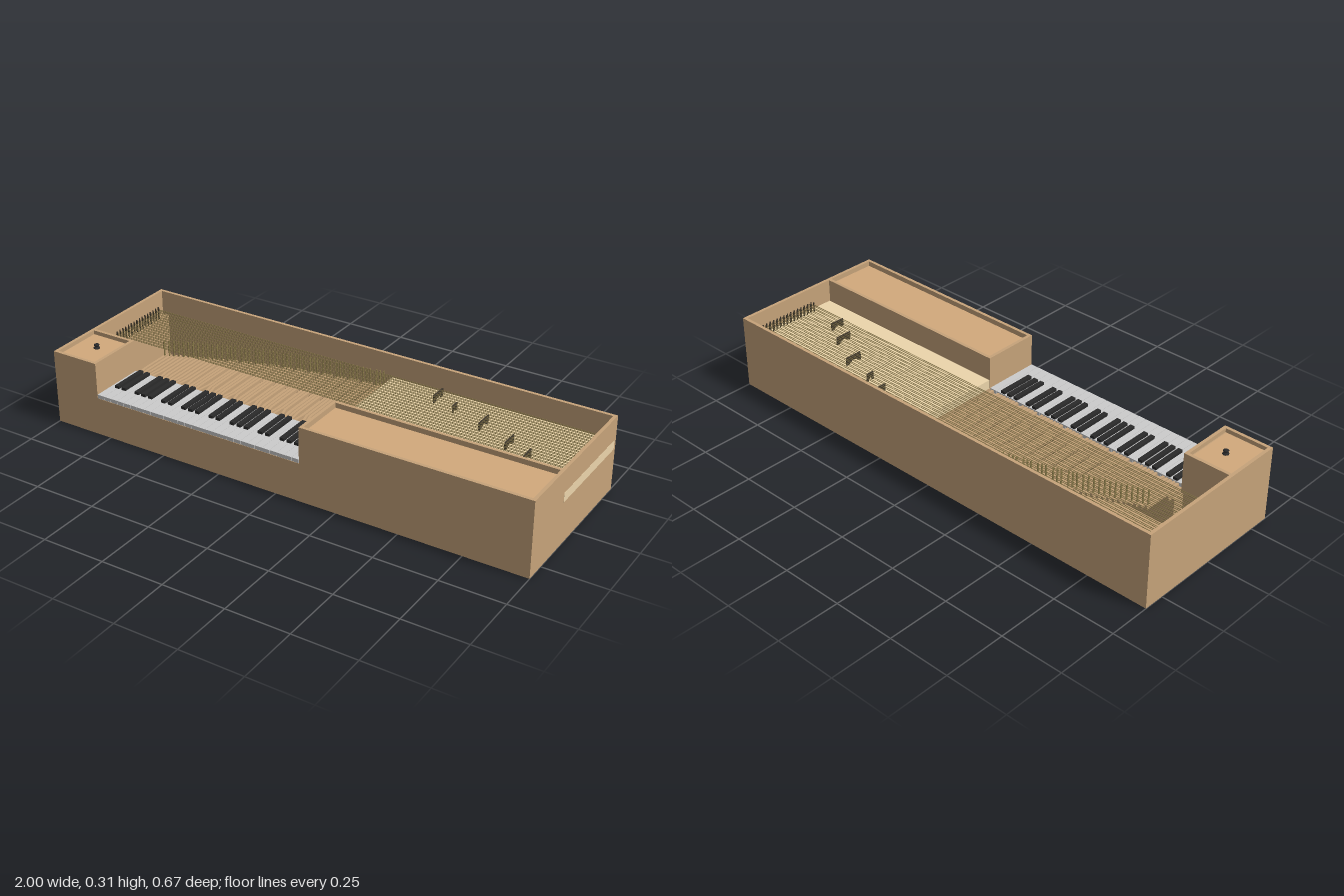
import * as THREE from 'three';

const mat = (color) => new THREE.MeshStandardMaterial({ color });
const WOOD = mat(0xc6a37a), PANEL = mat(0xd2a97c), CREAM = mat(0xecd5ab), IVORY = mat(0xcccccc);
const EBONY = mat(0x2a2a2a), BRASS = mat(0x8a7a4a), IRON = mat(0x40382c);

export function createModel() {
  const root = new THREE.Group();
  root.name = 'clavichord';

  const group = (name) => {
    const g = new THREE.Group();
    g.name = name;
    root.add(g);
    return g;
  };
  const add = (parent, name, geometry, material) => {
    const m = new THREE.Mesh(geometry, material);
    m.name = name;
    parent.add(m);
    return m;
  };
  // box from its minimum and maximum corners
  const box = (parent, name, [x0, x1], [y0, y1], [z0, z1], material) => {
    const m = add(parent, name, new THREE.BoxGeometry(x1 - x0, y1 - y0, z1 - z0), material);
    m.position.set((x0 + x1) / 2, (y0 + y1) / 2, (z0 + z1) / 2);
    return m;
  };

  const H = 0.3, D = 0.333, T = 0.013;
  const KEY_L = -0.8, KEY_R = 0.1, DIV = 0.1, KEY_Y = 0.155;

  // Case: floor, walls, and a front with the keyboard opening cut from its top
  const box3 = group('case');
  box(box3, 'bottom', [-1, 1], [0, T], [-D, D], WOOD);
  box(box3, 'backWall', [-1, 1], [T, H], [-D, -D + T], WOOD);
  for (const s of [-1, 1]) {
    box(box3, s < 0 ? 'rightEnd' : 'leftEnd', s < 0 ? [-1, -1 + T] : [1 - T, 1], [T, H], [-D + T, D - T], WOOD);
  }
  const front = new THREE.Shape([
    [-1, T], [1, T], [1, H], [KEY_R, H], [KEY_R, KEY_Y], [KEY_L, KEY_Y], [KEY_L, H], [-1, H],
  ].map((p) => new THREE.Vector2(...p)));
  const frontWall = add(box3, 'frontWall', new THREE.ExtrudeGeometry(front, { depth: T, bevelEnabled: false }), WOOD);
  frontWall.position.z = D - T;
  box(box3, 'keybed', [KEY_L, KEY_R], [0.135, KEY_Y], [0.03, D - T], WOOD);
  box(box3, 'balanceRail', [KEY_L - 0.01, KEY_R], [T, 0.135], [0.05, 0.1], WOOD);
  box(box3, 'bellyRail', [KEY_R, KEY_R + T], [T, 0.17], [-D + T, DIV], WOOD);

  // Compartments at each end of the keyboard, with recessed lids
  const compartment = (name, x0, x1, wallX, lidY, rim) => {
    const g = group(name);
    box(g, 'rearPartition', [x0, x1], [T, H], [DIV, DIV + T], WOOD);
    box(g, 'cheek', [wallX, wallX + T], [T, H], [DIV + T, D - T], WOOD);
    box(g, 'lid', [x0 + T, x1 - T], [lidY - 0.012, lidY], [DIV + T, D - T], WOOD);
    box(g, 'lidPanel', [x0 + rim, x1 - rim], [lidY, lidY + 0.004], [DIV + rim, D - rim], PANEL);
    return g;
  };
  const toolBox = compartment('toolBox', -1, KEY_L, KEY_L - T, 0.284, 0.02);
  compartment('sideBox', KEY_R, 1, KEY_R, 0.278, 0.016);

  // Lid knob
  const knobProfile = [[0, 0], [0.012, 0], [0.012, 0.003], [0.005, 0.005], [0.005, 0.009],
    [0.009, 0.011], [0.011, 0.014], [0.008, 0.017], [0, 0.018]];
  const knob = add(toolBox, 'lidKnob',
    new THREE.LatheGeometry(knobProfile.map((p) => new THREE.Vector2(...p)), 20), EBONY);
  knob.position.set(-0.895, 0.288, 0.208);

  // Soundboard, showing its end grain through the case end
  box(root, 'soundboard', [KEY_R, 1.0004], [0.17, 0.207], [-0.32, 0.097], CREAM);

  // Keys: 29 naturals and 20 accidentals, C to C
  const keys = group('keyboard');
  const PITCH = (KEY_R - KEY_L) / 29;
  const hasSharp = [1, 1, 0, 1, 1, 1, 0];
  const keyX = [];
  for (let i = 0; i < 29; i++) {
    const x = KEY_L + i * PITCH;
    box(keys, 'naturalKey', [x + 0.0006, x + PITCH - 0.0006], [KEY_Y + 0.001, 0.171], [DIV + 0.002, D], IVORY);
    keyX.push(x + PITCH / 2);
    if (i < 28 && hasSharp[i % 7]) {
      const c = x + PITCH;
      box(keys, 'accidentalKey', [c - 0.009, c + 0.009], [0.171, 0.182], [DIV + 0.004, 0.255], EBONY);
      keyX.push(c);
    }
  }

  // Cranked key levers, each carrying a tangent that rises to the strings
  const action = group('keyAction');
  const last = keyX.length - 1;
  const reach = new THREE.CatmullRomCurve3([
    [-0.79, -0.08], [-0.6, -0.165], [-0.4, -0.235], [-0.15, -0.28], [0.08, -0.315],
  ].map(([x, z]) => new THREE.Vector3(x, 0, z)));
  keyX.forEach((x, i) => {
    let t = i;
    if (i > 12) { // upper levers gather in groups of three
      const mid = Math.floor((i - 13) / 3) * 3 + 14;
      t = mid + (i - mid) * 0.8;
    }
    const bx = -0.788 + 0.862 * t / last, bz = reach.getPoint(t / last).z, w = 0.0052;
    const plan = new THREE.Shape([
      [x - w, -DIV], [x + w, -DIV], [x + w, -0.09], [bx + w, -0.045], [bx + w, -bz], [bx - w, -bz],
      [bx - w, -0.045], [x - w, -0.09],
    ].map((p) => new THREE.Vector2(...p)));
    const lever = add(action, 'keyLever',
      new THREE.ExtrudeGeometry(plan, { depth: 0.013, bevelEnabled: false }), WOOD);
    lever.rotation.x = -Math.PI / 2;
    lever.position.y = KEY_Y;
    box(action, 'tangent', [bx - 0.001, bx + 0.001], [0.168, 0.232], [bz + 0.008, bz + 0.016], BRASS);
  });

  // Paired strings with a hitch pin and a tuning pin each
  const strings = group('strings');
  const wire = new THREE.CylinderGeometry(0.0012, 0.0012, 1.95, 6).rotateZ(Math.PI / 2);
  const pin = new THREE.CylinderGeometry(0.0025, 0.0025, 0.05, 8);
  const COUNT = 32;
  for (let i = 0; i < COUNT; i++) {
    const z = -0.272 + 0.265 * (Math.floor(i / 2) / (COUNT / 2 - 1)) + (i % 2 ? 0.0035 : -0.0035);
    add(strings, 'string', wire, BRASS).position.set(0, 0.237, z);
    for (const s of [-1, 1]) {
      const px = s * (0.975 - (i % 2) * 0.008);
      add(strings, s < 0 ? 'hitchPin' : 'tuningPin', pin, IRON).position.set(px, 0.222, z);
    }
  }
  box(strings, 'hitchRail', [-1 + T, -0.958], [T, 0.2], [-D + T, DIV], WOOD);

  // Staggered bridges on the soundboard, arched underneath
  const bridges = group('bridges');
  for (const [x, z0, z1] of [[0.33, -0.29, -0.22], [0.425, -0.222, -0.19], [0.565, -0.197, -0.125],
    [0.705, -0.118, -0.05], [0.8, -0.06, 0]]) {
    const L = z1 - z0, profile = new THREE.Shape();
    profile.moveTo(0, 0).lineTo(0, 0.032).lineTo(L, 0.032).lineTo(L, 0).lineTo(L * 0.8, 0);
    profile.quadraticCurveTo(L / 2, 0.026, L * 0.2, 0);
    const bridge = add(bridges, 'bridge',
      new THREE.ExtrudeGeometry(profile, { depth: 0.005, bevelEnabled: false, curveSegments: 8 }), IRON);
    bridge.rotation.y = -Math.PI / 2;
    bridge.position.set(x + 0.0025, 0.207, z0);
  }

  return root;
}
